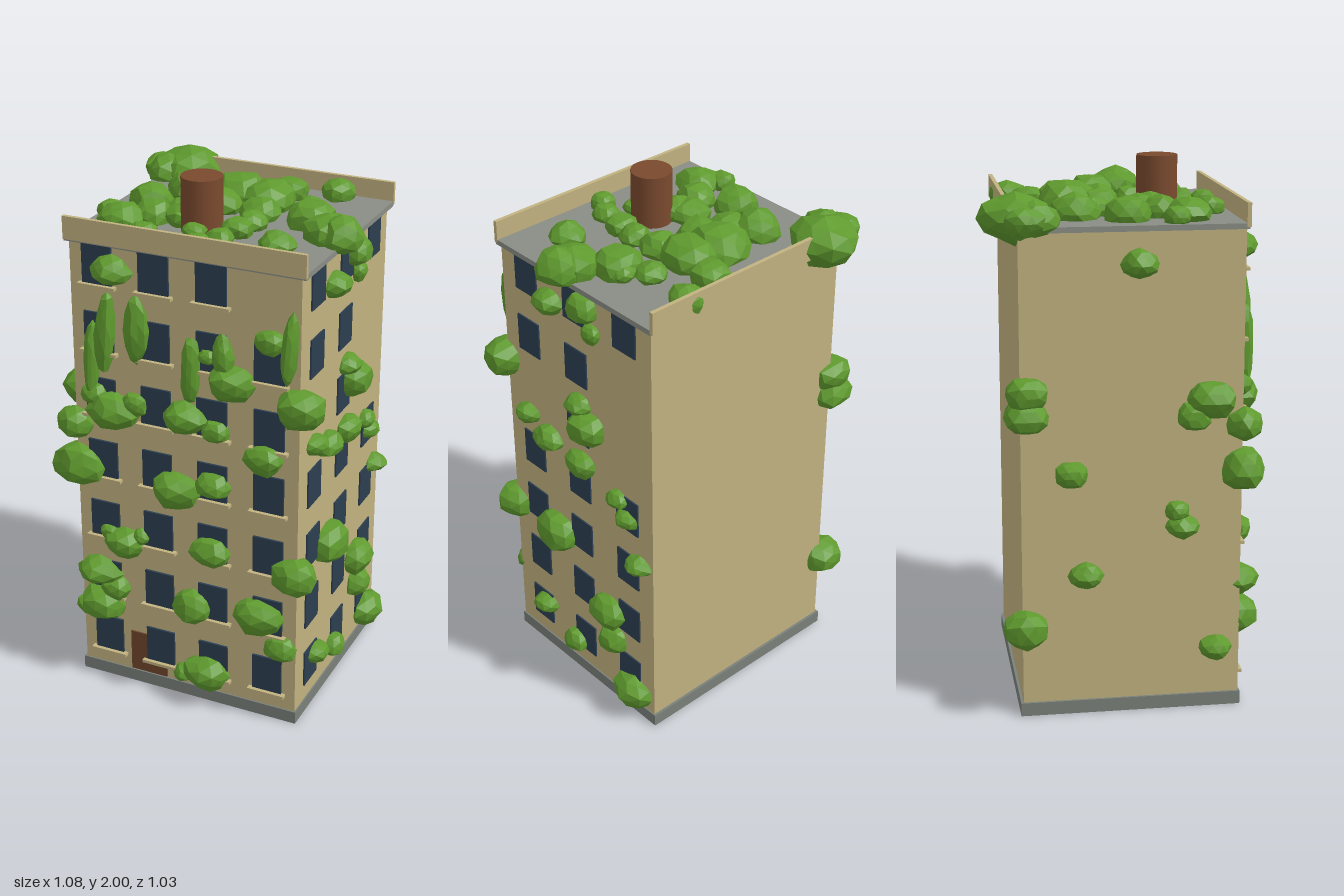
import * as THREE from 'three';

const paint = (name, color, extra = {}) => {
  const m = new THREE.MeshStandardMaterial({ color, ...extra });
  m.name = name;
  return m;
};

export function createModel() {
  const model = new THREE.Group();
  model.name = 'overgrownBuilding';
  const wall = paint('sandWall', 0xc2b280);
  const concrete = paint('concreteGrey', 0x8a8d85);
  const plinth = paint('plinthGrey', 0x7a807a);
  const glass = paint('windowBlue', 0x2c3e50);
  const wood = paint('doorBrown', 0x6f452b);
  const rust = paint('rustBrown', 0x7a4a2e);
  const leaf = paint('leafGreen', 0x5f9a2e, { flatShading: true });

  const group = (name) => {
    const g = new THREE.Group();
    g.name = name;
    model.add(g);
    return g;
  };
  const box = (parent, name, mat, w, h, d, x, y, z) => {
    const m = new THREE.Mesh(new THREE.BoxGeometry(w, h, d), mat);
    m.name = name;
    m.position.set(x, y, z);
    parent.add(m);
  };

  // Main block, plinth, roof slab and the two parapets
  box(model, 'body', wall, 0.885, 1.75, 0.8, 0.005, 0.915, 0);
  box(model, 'plinth', plinth, 0.9, 0.05, 0.816, 0.003, 0.025, -0.002);
  box(model, 'roofSlab', concrete, 0.92, 0.02, 0.825, 0.005, 1.793, -0.005);
  box(model, 'frontParapet', wall, 0.922, 0.085, 0.015, 0.005, 1.832, 0.404);
  box(model, 'backParapet', wall, 0.922, 0.085, 0.015, 0.005, 1.832, -0.422);

  // Entrance door, partly behind a ground-floor window
  box(model, 'door', wood, 0.152, 0.17, 0.008, -0.159, 0.14, 0.402);

  // Water tank on the roof
  const tank = new THREE.Mesh(new THREE.CylinderGeometry(0.075, 0.075, 0.2, 24), rust);
  tank.name = 'waterTank';
  tank.position.set(-0.042, 1.9, 0.148);
  model.add(tank);

  // Windows: seven floors, with a few openings left out
  const frontWindows = group('frontWindows');
  const sideWindows = group('sideWindows');
  const sideGaps = ['5,2', '4,0', '4,2'];
  for (let floor = 0; floor < 7; floor++) {
    const y = 0.19 + floor * 0.2537;
    for (let c = 0; c < 4; c++) {
      if (floor === 6 && c === 3) continue;
      const x = -0.328 + c * 0.221;
      box(frontWindows, 'window', glass, 0.117, 0.145, 0.009, x, y, 0.404);
      box(frontWindows, 'sill', wall, 0.148, 0.012, 0.025, x, y - 0.079, 0.41);
    }
    for (let c = 0; c < 3; c++) {
      if (sideGaps.includes(`${floor},${c}`)) continue;
      box(sideWindows, 'window', glass, 0.009, 0.145, 0.117, 0.449, y, 0.262 - c * 0.264);
    }
  }

  // Faceted bush: an icosphere whose corners are pushed in or out
  let seed = 0;
  const bush = (parent, name, x, y, z, rx, ry, rz, tilt = 0) => {
    seed++;
    const geo = new THREE.IcosahedronGeometry(1, 1);
    const p = geo.attributes.position;
    const v = new THREE.Vector3();
    for (let i = 0; i < p.count; i++) {
      v.fromBufferAttribute(p, i);
      const n = Math.sin(v.x * 5.3 + seed * 1.7) + Math.sin(v.y * 4.7 + seed * 2.9) + Math.sin(v.z * 6.1 + seed);
      v.multiplyScalar(1 + 0.05 * n);
      p.setXYZ(i, v.x, v.y, v.z);
    }
    geo.scale(rx, ry, rz);
    geo.computeVertexNormals();
    const m = new THREE.Mesh(geo, leaf);
    m.name = name;
    m.position.set(x, y, z);
    m.rotation.z = tilt;
    parent.add(m);
  };

  // Bushes on the front wall: x, y, radius x, radius y
  const frontBushes = group('frontBushes');
  for (const [x, y, rx, ry] of [
    [-0.27, 1.7, 0.08, 0.055], [0.19, 1.36, 0.09, 0.07], [0.1, 1.44, 0.035, 0.03], [0.34, 1.54, 0.06, 0.045],
    [-0.28, 1.16, 0.105, 0.075], [-0.19, 1.2, 0.05, 0.045], [-0.35, 1.21, 0.055, 0.05], [-0.44, 1.08, 0.075, 0.06],
    [0.01, 1.19, 0.085, 0.065], [0.13, 1.16, 0.055, 0.042], [0.32, 1.09, 0.075, 0.06],
    [-0.43, 0.91, 0.11, 0.08], [-0.03, 0.89, 0.095, 0.075], [0.12, 0.94, 0.07, 0.05],
    [-0.245, 0.62, 0.085, 0.06], [-0.18, 0.655, 0.035, 0.035], [-0.31, 0.65, 0.04, 0.03], [0.11, 0.665, 0.08, 0.06],
    [0.44, 0.64, 0.09, 0.068], [-0.36, 0.47, 0.09, 0.06], [-0.35, 0.33, 0.095, 0.068], [-0.29, 0.41, 0.06, 0.055],
    [0.03, 0.41, 0.08, 0.068], [0.3, 0.44, 0.1, 0.075], [0.39, 0.32, 0.065, 0.05],
    [0.09, 0.13, 0.095, 0.07], [-0.01, 0.1, 0.045, 0.038], [0.45, 1.31, 0.09, 0.075],
  ]) bush(frontBushes, 'bush', x, y, 0.405, rx, ry, Math.min(0.08, rx * 0.85));

  // Long hanging vines: x, y, radius x, radius y, tilt
  const vines = group('hangingVines');
  for (const [x, y, rx, ry, tilt] of [
    [-0.3, 1.455, 0.037, 0.17, -0.08], [-0.355, 1.35, 0.028, 0.16, -0.04], [-0.175, 1.495, 0.048, 0.135, 0],
    [0.037, 1.38, 0.036, 0.127, -0.05], [0.165, 1.45, 0.04, 0.09, 0.08], [0.412, 1.525, 0.031, 0.132, -0.08],
  ]) bush(vines, 'vine', x, y, 0.412, rx, ry, 0.04, tilt);

  // Bushes on the right-hand windowed side: z, y, radius z, radius y
  const sideBushes = group('sideBushes');
  for (const [z, y, rz, ry] of [
    [0.125, 1.67, 0.065, 0.05], [-0.065, 1.73, 0.068, 0.052], [-0.1, 1.64, 0.04, 0.04], [0.07, 1.83, 0.09, 0.068],
    [0.28, 1.12, 0.055, 0.04], [0.16, 1.07, 0.07, 0.048], [-0.025, 1.05, 0.07, 0.052], [-0.02, 1.31, 0.058, 0.04],
    [-0.07, 1.235, 0.085, 0.065], [-0.22, 1, 0.048, 0.037], [-0.27, 0.935, 0.052, 0.033], [-0.335, 0.76, 0.058, 0.038],
    [0.13, 0.65, 0.1, 0.078], [-0.16, 0.43, 0.085, 0.072], [-0.18, 0.305, 0.068, 0.057], [0.23, 0.22, 0.058, 0.042],
    [0.05, 0.145, 0.058, 0.047], [-0.295, 0.115, 0.09, 0.068],
  ]) bush(sideBushes, 'bush', 0.455, y, z, Math.min(0.08, rz * 0.9), ry, rz);

  // Bushes on the plain left side: z, y, radius
  const plainSideBushes = group('plainSideBushes');
  for (const [z, y, r] of [
    [0.02, 1.67, 0.065], [-0.38, 1.22, 0.08], [-0.38, 1.14, 0.085], [-0.22, 0.92, 0.06], [-0.17, 0.54, 0.062],
    [-0.39, 0.345, 0.085], [0.18, 0.71, 0.06], [0.16, 0.77, 0.045], [0.28, 1.18, 0.09], [0.22, 1.12, 0.065],
    [0.31, 0.235, 0.06],
  ]) bush(plainSideBushes, 'bush', -0.455, y, z, r, r * 0.8, r);

  // Rooftop bushes: x, z, radius
  const roofBushes = group('roofBushes');
  for (const [x, z, r] of [
    [-0.25, -0.18, 0.09], [-0.18, -0.11, 0.07], [-0.05, -0.19, 0.115], [0.067, -0.175, 0.108], [-0.07, -0.073, 0.08],
    [0.1, -0.31, 0.07], [0.096, -0.05, 0.076], [0.266, -0.374, 0.067], [0.24, -0.17, 0.058], [0.29, -0.053, 0.09],
    [0.31, -0.1, 0.05], [-0.32, 0, 0.085], [-0.15, 0.06, 0.073], [-0.24, 0.13, 0.073], [-0.13, 0.11, 0.073],
    [0.11, 0.064, 0.058], [0.096, 0.152, 0.058], [0.08, 0.26, 0.05], [0.4, 0.055, 0.096], [0.28, 0.23, 0.067],
    [-0.184, 0.32, 0.053], [-0.327, 0.213, 0.082], [-0.403, 0.16, 0.05], [-0.035, 0.228, 0.044], [0.03, 0.335, 0.047],
    [-0.36, -0.4, 0.125], [-0.42, -0.34, 0.085], [-0.46, -0.38, 0.075],
  ]) bush(roofBushes, 'bush', x, 1.825, z, r, r * 0.72, r);

  return model;
}
